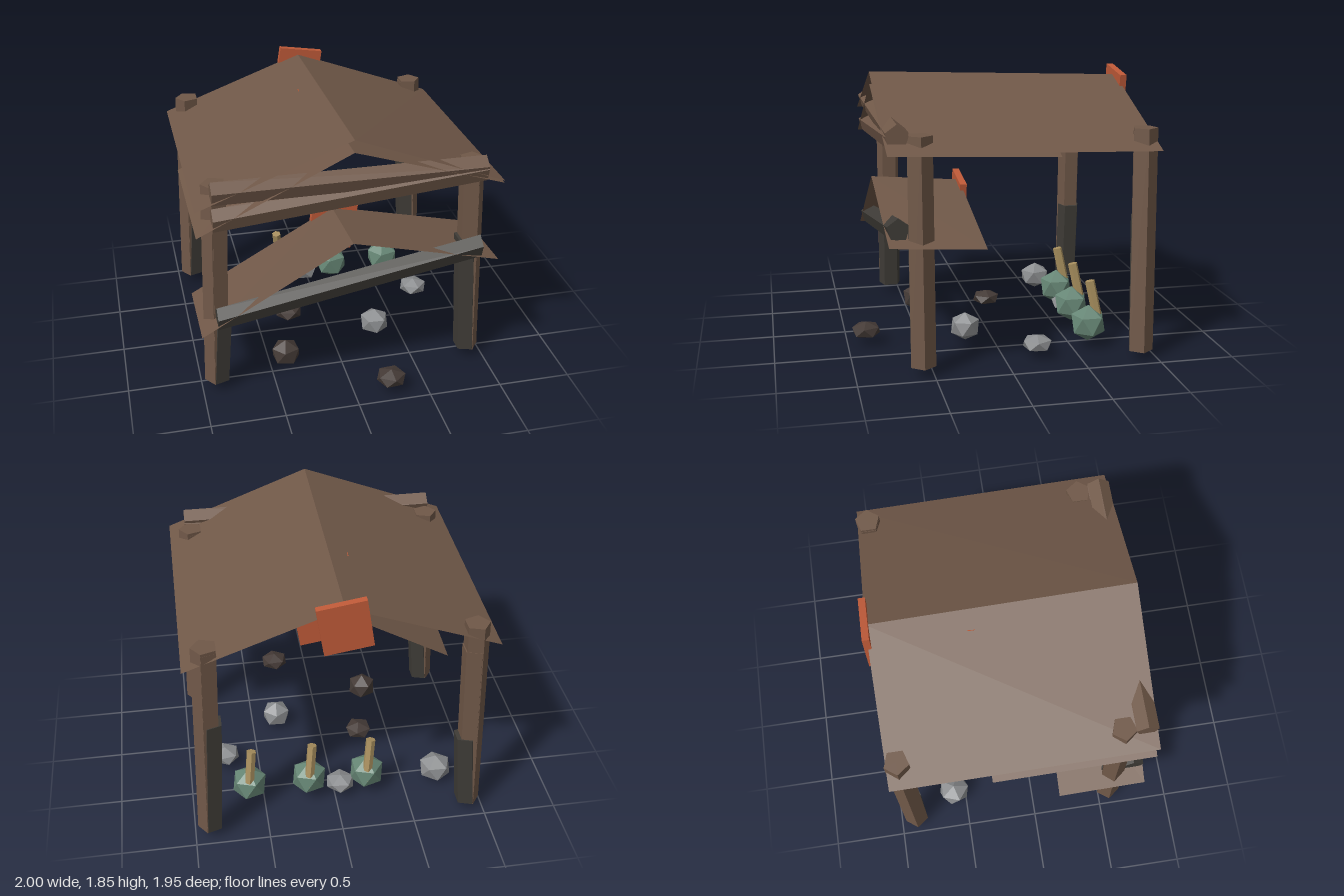
import * as THREE from 'three';

const mat = (name, color, side = THREE.FrontSide) => {
  const m = new THREE.MeshStandardMaterial({ color, flatShading: true, side });
  m.name = name;
  return m;
};

export function createModel() {
  const model = new THREE.Group();
  model.name = 'ruinedShelter';

  const wood = mat('brown wood', 0x705848);
  const canopy = mat('brown canopy', 0x705848, THREE.DoubleSide);
  const charred = mat('charred wood', 0x3f3c37);
  const clay = mat('red clay', 0xbf5a38);
  const green = mat('green stone', 0x668675);
  const handleWood = mat('pale wood', 0xa88f5e);
  const grey = mat('grey stone', 0x8b8d8f);
  const coal = mat('dark stone', 0x443a36);

  const add = (parent, name, geometry, material) => {
    const mesh = new THREE.Mesh(geometry, material);
    mesh.name = name;
    parent.add(mesh);
    return mesh;
  };

  // Five-sided post leaning inward, one corner pointing outward
  function post(parent, side, z, top, material, inset) {
    const bottom = 0.07;
    const g = new THREE.CylinderGeometry(0.085, 0.085, top - bottom, 5);
    g.rotateY(side * Math.PI / 2);
    const p = g.attributes.position;
    for (let i = 0; i < p.count; i++) {
      if (p.getY(i) > 0) p.setX(i, p.getX(i) - side * 0.045);
    }
    g.translate(side * (0.895 - inset), (top + bottom) / 2, z);
    add(parent, 'post', g, material);
  }

  // Five-sided front beam, sheared between two end heights
  function beam(parent, yLeft, yRight, material) {
    const g = new THREE.CylinderGeometry(0.077, 0.077, 1.78, 5);
    g.rotateY(Math.PI / 2).rotateZ(Math.PI / 2);
    const p = g.attributes.position;
    for (let i = 0; i < p.count; i++) {
      const t = p.getX(i) / 1.78 + 0.5;
      p.setY(i, p.getY(i) + THREE.MathUtils.lerp(yLeft, yRight, t));
      p.setZ(i, p.getZ(i) + 0.712);
    }
    add(parent, 'frontBeam', g, material);
  }

  // Thin two-slope canopy, dropping slightly toward the back
  function roof(parent, s) {
    const zf = 0.785, [a, r, b] = s.eaves, d = s.drop;
    const g = new THREE.BufferGeometry();
    g.setAttribute('position', new THREE.Float32BufferAttribute([
      -1, a, zf, 0, r, zf, 1, b, zf,
      -1, a - d * 0.75, s.back, 0, r - d, s.back, 1, b - d * 0.75, s.back,
    ], 3));
    g.setIndex([0, 1, 4, 0, 4, 3, 1, 2, 5, 1, 5, 4]);
    const flat = g.toNonIndexed();
    flat.computeVertexNormals();
    add(parent, 'roof', flat, canopy);
  }

  // Three overlapping frames, from tall and intact to low and burnt
  const stages = [
    { name: 'tallFrame', posts: [1.555, 1.555], beam: [1.555, 1.555], eaves: [1.47, 1.855, 1.47], drop: 0.06, back: -0.96, plate: [1.667, -0.962], material: wood, inset: 0 },
    { name: 'middleFrame', posts: [1.37, 1.535], beam: [1.37, 1.535], eaves: [1.29, 1.77, 1.455], drop: 0.055, back: -0.3, plate: [1.58, -0.3], material: wood, inset: 0.002 },
    { name: 'lowFrame', posts: [0.65, 0.97], beam: [0.645, 0.97], eaves: [0.555, 1.13, 0.885], drop: 0.05, back: 0.17, plate: [0.942, 0.17], material: charred, inset: 0.005 },
  ];
  for (const s of stages) {
    const frame = new THREE.Group();
    frame.name = s.name;
    model.add(frame);
    for (const z of [0.57, -0.885]) {
      post(frame, -1, z, s.posts[0], s.material, s.inset);
      post(frame, 1, z, s.posts[1], s.material, s.inset);
    }
    beam(frame, s.beam[0], s.beam[1], s.material);
    roof(frame, s);
    const plate = add(frame, 'ridgePlate', new THREE.BoxGeometry(0.315, 0.335, 0.046), clay);
    plate.position.set(0, s.plate[0], s.plate[1]);
    plate.rotation.z = -0.155;
  }

  // Icosahedron with one corner pointing up
  const stone = (r) => new THREE.IcosahedronGeometry(r, 0).rotateZ(0.5536);

  // Stone-headed tools with upright leaning handles
  for (const x of [-0.23, 0.18, 0.6]) {
    const tool = new THREE.Group();
    tool.name = 'stoneTool';
    tool.position.set(x, 0, 0);
    model.add(tool);
    add(tool, 'head', stone(0.128), green).position.set(0, 0.17, -0.615);
    const from = new THREE.Vector3(0.012, 0.15, -0.69);
    const to = new THREE.Vector3(-0.022, 0.462, -0.628);
    const dir = to.clone().sub(from);
    const handle = add(tool, 'handle', new THREE.CylinderGeometry(0.034, 0.034, dir.length(), 6), handleWood);
    handle.position.copy(from).add(to).multiplyScalar(0.5);
    handle.quaternion.setFromUnitVectors(new THREE.Vector3(0, 1, 0), dir.normalize());
  }

  // Scattered rocks: x, z, width scale, height scale, turn, material
  const rocks = [
    [-0.74, -0.58, 1.2, 1, 0.3, grey],
    [0.32, 0.19, 1.1, 1, 0.9, grey],
    [-0.04, -0.63, 1.08, 0.58, 0.2, grey],
    [0.74, -0.22, 1.08, 0.6, 0.5, grey],
    [-0.39, 0.43, 1.08, 1, 0.1, coal],
    [-0.27, -0.08, 1.05, 0.55, 0.7, coal],
    [0.255, 0.872, 1.08, 0.6, 0.4, coal],
  ];
  for (const [x, z, w, h, turn, material] of rocks) {
    const rock = add(model, 'rock', stone(0.1), material);
    rock.scale.set(w, h, w);
    rock.rotation.y = turn;
    rock.position.set(x, 0.105, z);
  }

  return model;
}
